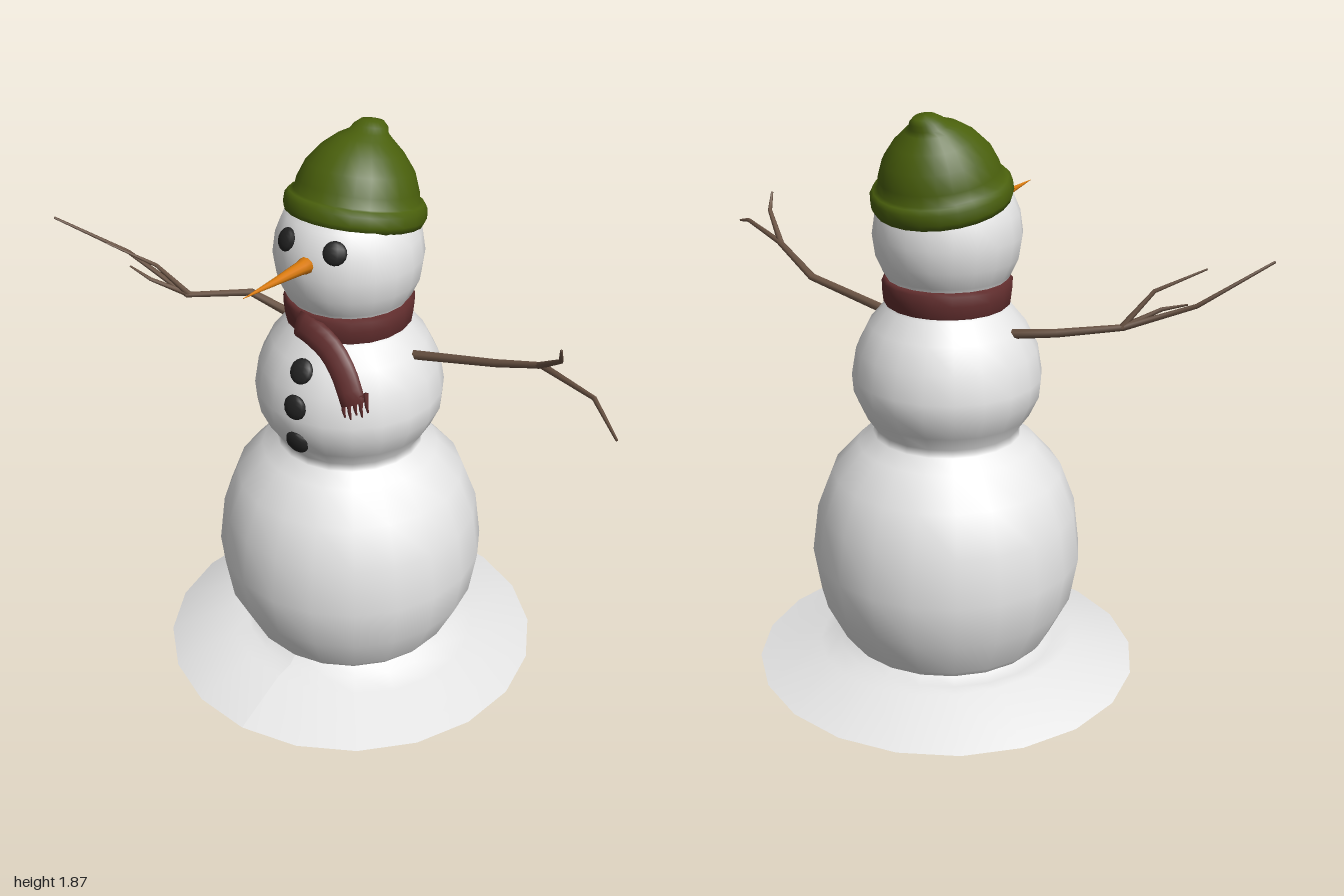
import * as THREE from 'three';

const V = (x, y, z) => new THREE.Vector3(x, y, z);
const CX = -0.05; // the body axis

const mat = (name, color) => {
  const m = new THREE.MeshStandardMaterial({ color });
  m.name = name;
  return m;
};

// Skin over a list of rings, each an equal-length loop of points
function skin(rings) {
  const n = rings[0].length, pos = [], idx = [];
  rings.forEach((r) => r.forEach((p) => pos.push(p.x, p.y, p.z)));
  for (let i = 0; i < rings.length - 1; i++) {
    for (let j = 0; j < n; j++) {
      const k = (j + 1) % n, a = i * n + j, b = i * n + k;
      idx.push(a, b, a + n, b, b + n, a + n);
    }
  }
  const g = new THREE.BufferGeometry();
  g.setAttribute('position', new THREE.Float32BufferAttribute(pos, 3));
  g.setIndex(idx);
  g.computeVertexNormals();
  return g;
}

// Elliptical section swept along a bent path; width(u) and depth(u) are radii
function sweep(path, width, depth, sides, ref = V(0, 0, 1)) {
  const last = path.length - 1;
  const rings = path.map((p, i) => {
    const t = path[Math.min(i + 1, last)].clone().sub(path[Math.max(i - 1, 0)]).normalize();
    const b = ref.clone().addScaledVector(t, -ref.dot(t)).normalize();
    const a = b.clone().cross(t);
    return Array.from({ length: sides }, (_, j) => {
      const q = (j / sides) * Math.PI * 2;
      return p.clone().addScaledVector(a, Math.cos(q) * width(i / last))
        .addScaledVector(b, Math.sin(q) * depth(i / last));
    });
  });
  // close both ends
  rings.unshift(rings[0].map(() => path[0].clone()));
  rings.push(rings[0].map(() => path[last].clone()));
  return skin(rings);
}

const lathe = (pts, seg) =>
  new THREE.LatheGeometry(pts.map(([r, y]) => new THREE.Vector2(r, y)), seg);

export function createModel() {
  const group = new THREE.Group();
  const snow = mat('snow', 0xe6e6e6);
  snow.side = THREE.DoubleSide;
  const wool = mat('green wool', 0x4a600c);
  const cloth = mat('red cloth', 0x642f2f);
  const carrot = mat('carrot orange', 0xd97a0c);
  const bark = mat('bark brown', 0x6b5444);
  const coal = mat('coal black', 0x222222);

  const add = (name, geo, material, x = 0, y = 0, z = 0) => {
    const m = new THREE.Mesh(geo, material);
    m.name = name;
    m.position.set(x, y, z);
    group.add(m);
    return m;
  };

  // Three stacked snowballs as one turned skin
  add('body', lathe([
    [0.33, 0.09], [0.355, 0.12], [0.42, 0.25], [0.445, 0.4], [0.425, 0.56], [0.375, 0.69],
    [0.29, 0.785], [0.24, 0.82], [0.235, 0.845], [0.27, 0.895], [0.3, 0.96], [0.305, 1.02],
    [0.29, 1.11], [0.25, 1.19], [0.2, 1.25], [0.165, 1.3],
    [0.2, 1.355], [0.225, 1.41], [0.235, 1.48], [0.225, 1.55], [0.195, 1.62], [0.12, 1.69], [0, 1.71],
  ], 20), snow, CX);

  // Uneven snow skirt on the ground, higher on one side
  const skirt = lathe([[0.635, 0], [0.43, 0.065], [0.365, 0.075], [0.325, 0.105]], 20);
  const sp = skirt.attributes.position;
  for (let i = 0; i < sp.count; i++) {
    const r = Math.hypot(sp.getX(i), sp.getZ(i));
    if (r > 0.4 && r < 0.5) sp.setY(i, 0.072 - 0.06 * sp.getX(i));
  }
  skirt.computeVertexNormals();
  add('snowBase', skirt, snow, CX);

  // Knitted hat: [radius, height, backward shift] rings, tilted back
  const hatRings = [
    [0.19, 0.0, 0], [0.213, -0.005, 0], [0.221, 0.015, 0], [0.219, 0.045, 0], [0.208, 0.06, 0],
    [0.193, 0.062, 0], [0.188, 0.095, 0], [0.167, 0.15, 0.002], [0.128, 0.2, 0.004],
    [0.085, 0.237, 0.01], [0.061, 0.252, 0.025], [0.052, 0.27, 0.035], [0.035, 0.285, 0.04], [0, 0.29, 0.042],
  ].map(([r, y, s]) => Array.from({ length: 24 }, (_, j) => {
    const q = (j / 24) * Math.PI * 2;
    return V(Math.sin(q) * r, y, Math.cos(q) * r - s);
  }));
  add('hat', skin(hatRings), wool, CX, 1.59, -0.03).rotation.x = -0.21;

  // Eyes and buttons: flattened lumps of coal
  const lump = new THREE.SphereGeometry(1, 10, 8);
  const addLump = (name, x, y, z, r, yaw, pitch) => {
    const m = add(name, lump, coal, x, y, z);
    m.scale.set(r, r, 0.018);
    m.rotation.set(pitch, yaw, 0, 'YXZ');
  };
  for (const s of [-1, 1]) {
    addLump(s > 0 ? 'leftEye' : 'rightEye', CX + s * 0.087, 1.572, 0.2, 0.037, s * 0.42, -0.42);
  }
  [[1.175, 0.26, -0.55], [1.065, 0.298, -0.15], [0.935, 0.292, 0.25]].forEach(([y, z, p], i) =>
    addLump('button' + (i + 1), CX, y, z, 0.041, 0, p));

  // Carrot nose
  add('nose', sweep([V(CX, 1.518, 0.2), V(CX, 1.522, 0.25), V(CX, 1.53, 0.38), V(CX, 1.54, 0.525)],
    (u) => 0.031 * (1 - u) + 0.001, (u) => 0.031 * (1 - u) + 0.001, 10, V(0, 1, 0)), carrot);

  // Scarf: collar, hanging end and fringe
  add('scarfCollar', lathe([
    [0.165, 1.265], [0.19, 1.252], [0.201, 1.263], [0.205, 1.3], [0.206, 1.332], [0.195, 1.343], [0.165, 1.338],
  ], 20), cloth, CX);
  const tilt = V(0.35, 0.25, 1).normalize();
  const tail = new THREE.CatmullRomCurve3([
    V(-0.1, 1.3, 0.195), V(-0.04, 1.294, 0.212), V(0.03, 1.262, 0.222), V(0.09, 1.205, 0.238), V(0.135, 1.115, 0.25),
  ]);
  add('scarfTail', sweep(tail.getPoints(10), (u) => 0.046 - 0.006 * u, () => 0.018, 10, tilt), cloth);
  for (let i = 0; i < 5; i++) {
    const x = 0.102 + i * 0.017, y = 1.108 + i * 0.007, z = 0.257 - i * 0.006;
    const len = 0.045 + 0.012 * (i % 2);
    add('scarfFringe', sweep([V(x, y + 0.02, z), V(x + 0.005, y - len / 2, z + 0.004), V(x + 0.007, y - len, z)],
      (u) => 0.009 - 0.006 * u, (u) => 0.009 - 0.006 * u, 5), cloth);
  }

  // Twig arms: tapering bent sticks with side shoots
  const twig = (name, r0, r1, ...pts) => {
    const r = (u) => r0 + (r1 - r0) * u;
    add(name, sweep(pts.map((p) => V(...p)), r, r, 6), bark);
  };
  twig('leftArm', 0.017, 0.004, [0.15, 1.178, 0], [0.48, 1.25, 0], [0.66, 1.33, 0.06], [0.88, 1.35, 0.17], [1, 1.31, 0.27]);
  twig('leftTwig', 0.011, 0.004, [0.65, 1.325, 0.057], [0.755, 1.41, 0.135], [0.77, 1.465, 0.17]);
  twig('rightArm', 0.017, 0.004, [-0.24, 1.182, 0], [-0.44, 1.222, 0], [-0.595, 1.228, 0.14], [-0.82, 1.33, 0.16], [-1, 1.46, 0.3]);
  twig('rightTwigUpper', 0.01, 0.003, [-0.59, 1.228, 0.135], [-0.665, 1.34, 0.2], [-0.8, 1.412, 0.275]);
  twig('rightTwigLower', 0.01, 0.003, [-0.59, 1.228, 0.135], [-0.69, 1.285, 0.205], [-0.77, 1.312, 0.21]);

  return group;
}
